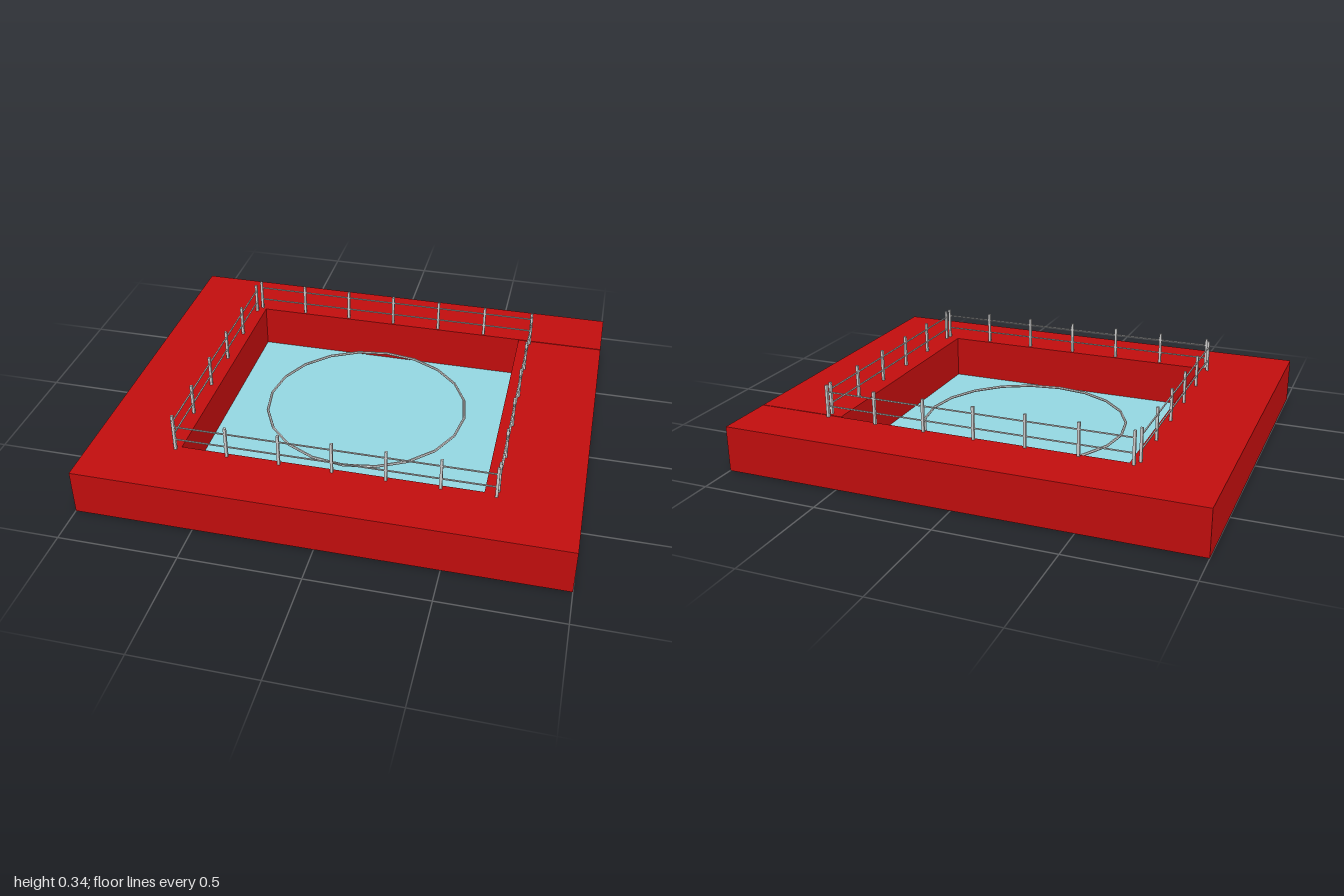
import * as THREE from 'three';

const red = new THREE.MeshStandardMaterial({ color: 0xc00d0d });
const blue = new THREE.MeshStandardMaterial({ color: 0x93d6e0 });
const grey = new THREE.MeshStandardMaterial({ color: 0xcccccc, flatShading: true });

const DECK = 0.195, POST_H = 0.14, POST = 0.011, RAIL = 0.005;

function box(name, w, h, d, x, y, z, material) {
  const mesh = new THREE.Mesh(new THREE.BoxGeometry(w, h, d), material);
  mesh.name = name;
  mesh.position.set(x, y, z);
  return mesh;
}

// Straight run of fence along local x: evenly spaced posts and two rails
function fence(name, length, posts) {
  const group = new THREE.Group();
  group.name = name;
  for (let i = 0; i < posts; i++) {
    const x = -length / 2 + (length * i) / (posts - 1);
    group.add(box('fencePost', POST, POST_H, POST, x, DECK + POST_H / 2, 0, grey));
  }
  for (const y of [0.243, 0.305]) {
    group.add(box('fenceRail', length, RAIL, RAIL, 0, y, 0, grey));
  }
  return group;
}

export function createModel() {
  const model = new THREE.Group();
  model.name = 'pool';

  // Deck: one C-shaped slab around the basin, its ends meeting at a hairline joint
  const outline = [
    [1, 0.571], [1, -0.835], [-1, -0.835], [-1, 0.835], [1, 0.835], [1, 0.575],
    [-0.625, 0.575], [-0.625, -0.57], [0.62, -0.57], [0.62, 0.571],
  ].map(([x, y]) => new THREE.Vector2(x, y));
  const deckGeometry = new THREE.ExtrudeGeometry(new THREE.Shape(outline), {
    depth: DECK, bevelEnabled: false,
  });
  deckGeometry.rotateX(-Math.PI / 2);
  const deck = new THREE.Mesh(deckGeometry, red);
  deck.name = 'deck';
  model.add(deck);

  // Basin floor
  model.add(box('basinFloor', 1.245, 0.004, 1.145, -0.0025, 0.002, -0.0025, blue));

  // Thin ring hovering above the floor
  const ringGeometry = new THREE.TorusGeometry(0.443, 0.006, 6, 20);
  ringGeometry.rotateX(Math.PI / 2);
  const ring = new THREE.Mesh(ringGeometry, grey);
  ring.name = 'floatingRing';
  ring.position.set(0.005, 0.075, -0.055);
  model.add(ring);

  // Fences on all four sides of the basin
  const runs = [
    ['frontFence', 1.315, 7, 0.012, 0.587, 0],
    ['backFence', 1.315, 7, 0.012, -0.588, 0],
    ['leftFence', 1.106, 6, 0.673, 0.001, Math.PI / 2],
    ['rightFence', 1.106, 6, -0.662, 0.001, Math.PI / 2],
  ];
  for (const [name, length, posts, x, z, turn] of runs) {
    const run = fence(name, length, posts);
    run.position.set(x, 0, z);
    run.rotation.y = turn;
    model.add(run);
  }
  return model;
}
